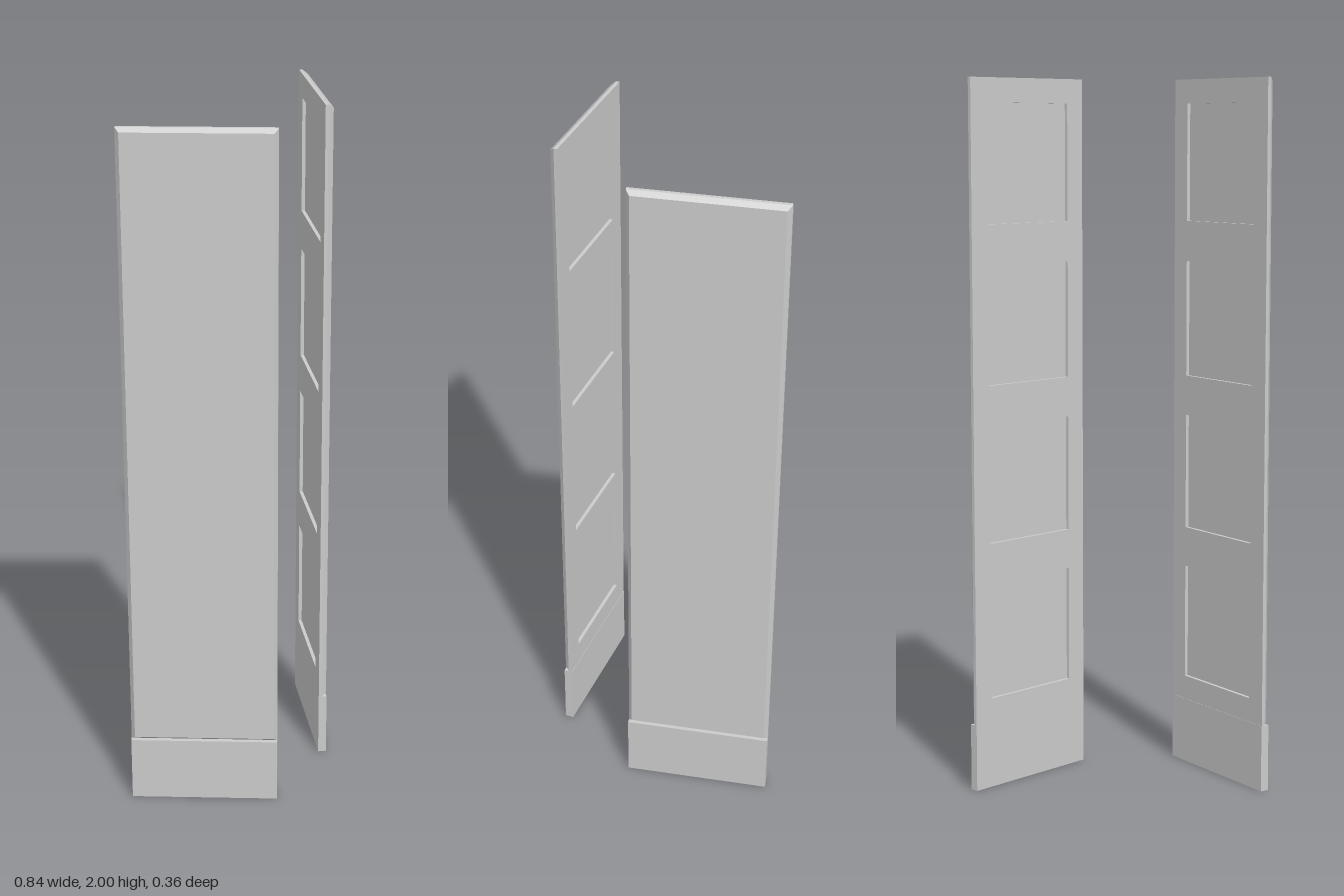
import * as THREE from 'three';

const WIDTH = 0.423, THICK = 0.024, TOP = 2, BASE = 0.19;
const FRAME = 0.01;   // depth of the coffered inner layer
const BEVEL = 0.011;  // inset of the outer face

const material = new THREE.MeshStandardMaterial({ color: 0xcccccc, flatShading: true });

function part(name, geometry) {
  const mesh = new THREE.Mesh(geometry, material);
  mesh.name = name;
  return mesh;
}

function rectangle(PathType, x0, y0, x1, y1) {
  const path = new PathType();
  path.moveTo(x0, y0);
  path.lineTo(x1, y0);
  path.lineTo(x1, y1);
  path.lineTo(x0, y1);
  path.closePath();
  return path;
}

// One door leaf; local +z is its outer side
function createLeaf(name, x, z, angle, proud) {
  const leaf = new THREE.Group();
  leaf.name = name;

  // Plinth block at the foot
  const plinth = part('plinth', new THREE.BoxGeometry(WIDTH, BASE, THICK + proud));
  plinth.position.set(0, BASE / 2, -proud / 2);
  leaf.add(plinth);

  // Inner frame with four square openings
  const outline = rectangle(THREE.Shape, -WIDTH / 2, BASE, WIDTH / 2, TOP);
  for (let i = 0; i < 4; i++) {
    const y = 0.259 + i * 0.447;
    outline.holes.push(rectangle(THREE.Path, -0.153, y, 0.153, y + 0.332));
  }
  const frame = part('innerFrame', new THREE.ExtrudeGeometry(outline, { depth: FRAME, bevelEnabled: false }));
  frame.position.z = -THICK / 2;
  leaf.add(frame);

  // Outer board, bevelled towards its outer face; its back is the coffer floor
  const height = TOP - BASE, depth = THICK - FRAME;
  const board = new THREE.BoxGeometry(WIDTH, height, depth);
  const p = board.attributes.position;
  for (let i = 0; i < p.count; i++) {
    if (p.getZ(i) > 0) {
      p.setX(i, p.getX(i) - Math.sign(p.getX(i)) * BEVEL);
      p.setY(i, p.getY(i) - Math.sign(p.getY(i)) * BEVEL);
    }
  }
  board.computeVertexNormals();
  const outer = part('outerBoard', board);
  outer.position.set(0, BASE + height / 2, FRAME / 2);
  leaf.add(outer);

  leaf.position.set(x, 0, z);
  leaf.rotation.y = angle;
  return leaf;
}

export function createModel() {
  const model = new THREE.Group();
  model.name = 'doubleDoor';
  model.add(createLeaf('leftLeaf', 0.262, -0.013, THREE.MathUtils.degToRad(45), 0));
  model.add(createLeaf('rightLeaf', -0.293, 0, THREE.MathUtils.degToRad(-55.6), 0.001));
  return model;
}
